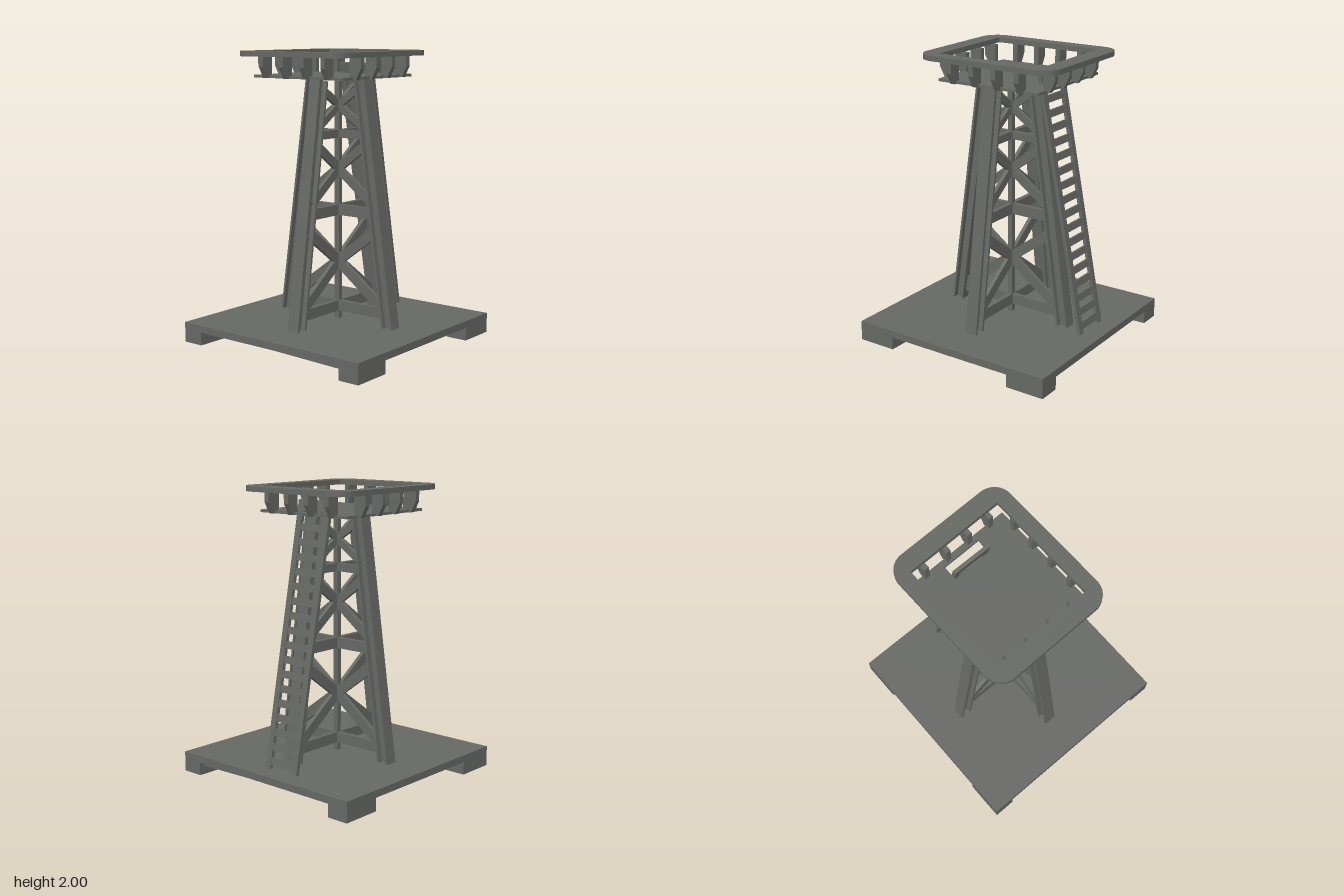
import * as THREE from 'three';

const steel = new THREE.MeshStandardMaterial({ color: 0x666864 });
steel.name = 'grey steel';

function add(parent, name, geometry) {
  const m = new THREE.Mesh(geometry, steel);
  m.name = name;
  parent.add(m);
  return m;
}

function box(parent, name, w, h, d, x, y, z) {
  const m = add(parent, name, new THREE.BoxGeometry(w, h, d));
  m.position.set(x, y, z);
  return m;
}

// Flat bar between two points of the local XY plane
function bar(parent, name, x1, y1, x2, y2, width, depth, z = 0) {
  const m = box(parent, name, Math.hypot(x2 - x1, y2 - y1), width, depth, (x1 + x2) / 2, (y1 + y2) / 2, z);
  m.rotation.z = Math.atan2(y2 - y1, x2 - x1);
  return m;
}

// Horizontal plate with an optional rounded outline and a rectangular hole
function plate(parent, name, w, d, radius, hole, y, thickness) {
  const s = new THREE.Shape();
  const a = w / 2, b = d / 2, r = radius;
  s.moveTo(-a + r, -b);
  s.lineTo(a - r, -b);
  if (r) s.absarc(a - r, -b + r, r, -Math.PI / 2, 0);
  s.lineTo(a, b - r);
  if (r) s.absarc(a - r, b - r, r, 0, Math.PI / 2);
  s.lineTo(-a + r, b);
  if (r) s.absarc(-a + r, b - r, r, Math.PI / 2, Math.PI);
  s.lineTo(-a, -b + r);
  if (r) s.absarc(-a + r, -b + r, r, Math.PI, Math.PI * 1.5);
  const [x0, x1, z0, z1] = hole;
  s.holes.push(new THREE.Path([[x0, z0], [x0, z1], [x1, z1], [x1, z0]].map(p => new THREE.Vector2(...p))));
  const g = new THREE.ExtrudeGeometry(s, { depth: thickness, bevelEnabled: false, curveSegments: 8 });
  g.rotateX(-Math.PI / 2);
  add(parent, name, g).position.y = y;
}

// Ground slab on four corner feet, with a slightly sloping panel below
function makeBase() {
  const base = new THREE.Group();
  base.name = 'base';
  box(base, 'slab', 1.51, 0.05, 1.51, 0, 0.115, 0);
  box(base, 'underPanel', 1.42, 0.03, 1.36, 0, 0.087, 0).rotation.x = 0.026;
  for (const x of [-1, 1]) for (const z of [-1, 1]) {
    box(base, 'foot', 0.28, 0.1, 0.155, x * 0.615, 0.05, z * 0.6775);
  }
  return base;
}

// Distance of a leg's centre line from the tower axis at height y
const legX = y => 0.447 - (y - 0.14) * 0.1435;

// One upright frame: two leaning H-section legs with cross bracing
function makeFrame() {
  const frame = new THREE.Group();
  frame.name = 'frame';
  const y0 = 0.11, y1 = 1.806;
  const lean = Math.atan(0.1435), length = (y1 - y0) / Math.cos(lean);
  for (const s of [-1, 1]) {
    const leg = new THREE.Group();
    leg.name = 'leg';
    for (const f of [-1, 1]) box(leg, 'flange', 0.016, length, 0.09, f * 0.036, 0, 0);
    box(leg, 'web', 0.06, length, 0.02, 0, 0, 0);
    leg.position.set(s * legX((y0 + y1) / 2), (y0 + y1) / 2, 0);
    leg.rotation.z = s * lean;
    frame.add(leg);
  }
  const inner = y => legX(y) - 0.03;
  for (const [y, h] of [[0.233, 0.074], [0.912, 0.075], [1.438, 0.055]]) {
    bar(frame, 'crossBeam', -inner(y), y, inner(y), y, h, 0.032);
  }
  // Each diagonal passes through the axis at the given height
  for (const [low, high, h] of [[0.255, 0.79, 0.07], [0.98, 1.375, 0.06], [1.485, 1.755, 0.048]]) {
    for (const s of [-1, 1]) {
      bar(frame, 'diagonalBrace', -s * inner(low), low, s * inner(high), high, h, 0.028);
    }
  }
  return frame;
}

// Ladder leaning in from the model's left
function makeLadder() {
  const ladder = new THREE.Group();
  ladder.name = 'ladder';
  const ladderX = y => 0.613 - (y - 0.14) * 0.193;
  for (const z of [0.0625, -0.1775]) {
    bar(ladder, 'ladderRail', ladderX(0.12), 0.12, ladderX(1.9), 1.9, 0.025, 0.045, z);
  }
  for (let i = 0; i < 17; i++) {
    const y = 1.73 - i * 0.0963;
    bar(ladder, 'rung', ladderX(y - 0.024), y - 0.024, ladderX(y + 0.024), y + 0.024, 0.018, 0.2, -0.0575);
  }
  bar(ladder, 'ladderTop', ladderX(1.83), 1.83, ladderX(1.91), 1.91, 0.025, 0.285, -0.0575);
  return ladder;
}

// Lookout platform: floor with hatch, flared brackets and a wide rim
function makePlatform() {
  const platform = new THREE.Group();
  platform.name = 'platform';
  plate(platform, 'floor', 0.78, 0.76, 0, [0.24, 0.345, -0.14, 0.14], 1.82, 0.018);
  plate(platform, 'rim', 1.05, 0.905, 0.13, [-0.4, 0.4, -0.352, 0.352], 1.965, 0.035);

  const profile = new THREE.Shape(
    [[0, 0], [0.05, 0], [0.09, 0.075], [0.09, 0.147], [0, 0.147]].map(p => new THREE.Vector2(...p)));
  const bracket = new THREE.ExtrudeGeometry(profile, { depth: 0.036, bevelEnabled: false });
  bracket.translate(0, 0, -0.018);
  for (let side = 0; side < 4; side++) {
    const row = new THREE.Group();
    row.name = 'bracketRow';
    row.rotation.y = side * Math.PI / 2;
    for (let i = 0; i < 4; i++) {
      const b = add(row, 'bracket', bracket);
      b.position.set(side % 2 ? 0.348 : 0.36, 1.82, (i - 1.5) * 0.174);
    }
    platform.add(row);
  }
  platform.position.set(0.022, 0, -0.06);
  platform.rotation.y = 0.016;
  return platform;
}

export function createModel() {
  const tower = new THREE.Group();
  tower.name = 'watchtower';
  const frameX = makeFrame(), frameZ = makeFrame();
  frameZ.rotation.y = Math.PI / 2;
  tower.add(makeBase(), frameX, frameZ, makeLadder(), makePlatform());
  box(tower, 'centrePost', 0.036, 1.7, 0.036, 0, 0.96, 0);
  return tower;
}
